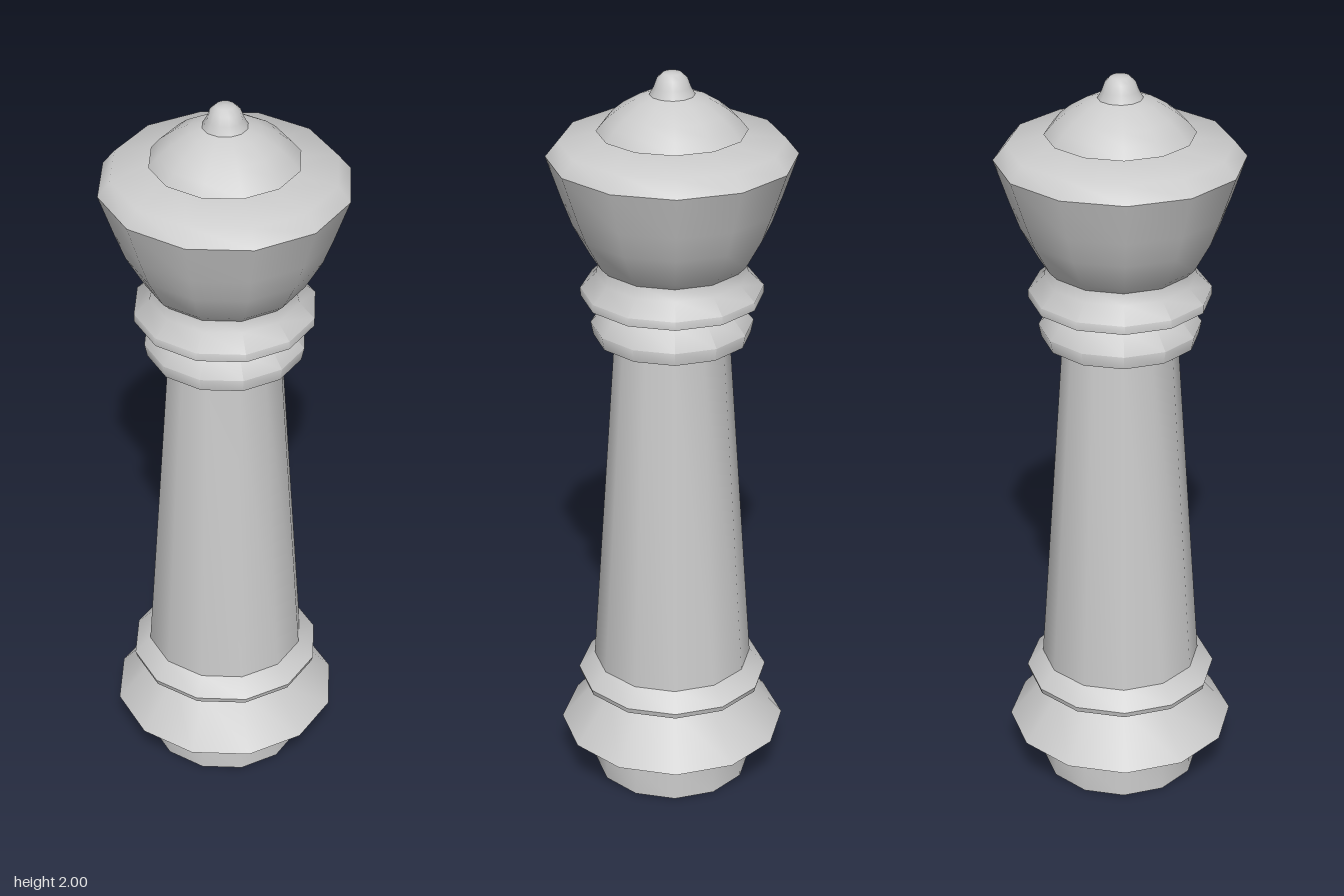
import * as THREE from 'three';
import { toCreasedNormals } from 'three/addons/utils/BufferGeometryUtils.js';

const SIDES = 12;

export function createModel() {
  const group = new THREE.Group();
  const material = new THREE.MeshStandardMaterial({ color: 0xcccccc, side: THREE.DoubleSide });

  // Turn a [radius, height] profile, listed bottom to top, around the y axis
  const turn = (name, profile, crease = 0.9) => {
    const points = profile.map(([r, y]) => new THREE.Vector2(r, y));
    const geometry = toCreasedNormals(new THREE.LatheGeometry(points, SIDES), crease);
    const mesh = new THREE.Mesh(geometry, material);
    mesh.name = name;
    group.add(mesh);
  };

  // Foot with a closed underside and a wide pointed flange
  turn('foot', [[0, 0], [0.213, 0], [0.213, 0.08], [0.305, 0.14], [0.2, 0.265]]);
  turn('footRing', [[0.2, 0.265], [0.252, 0.285], [0.256, 0.3], [0.213, 0.345]]);

  // Tapered shaft
  turn('shaft', [[0.213, 0.345], [0.15, 1.28]]);

  // Two collars below the head
  turn('lowerCollar', [[0.15, 1.28], [0.203, 1.3], [0.21, 1.335], [0.165, 1.387], [0.15, 1.395]]);
  turn('upperCollar', [[0.15, 1.395], [0.235, 1.41], [0.235, 1.432], [0.195, 1.47], [0.188, 1.5]]);

  // Flared head with a bevelled rim and a nearly flat top
  turn('head', [
    [0.188, 1.5], [0.208, 1.52], [0.252, 1.6], [0.278, 1.67],
    [0.317, 1.785], [0.285, 1.825], [0.145, 1.838],
  ]);

  // Domed cap and its small knob
  turn('cap', [
    [0.145, 1.838], [0.19, 1.85], [0.168, 1.877], [0.137, 1.903], [0.09, 1.932], [0.057, 1.943],
  ]);
  turn('knob', [[0.057, 1.943], [0.046, 1.963], [0.038, 1.985], [0.024, 1.998], [0, 2]], 1.2);

  return group;
}
